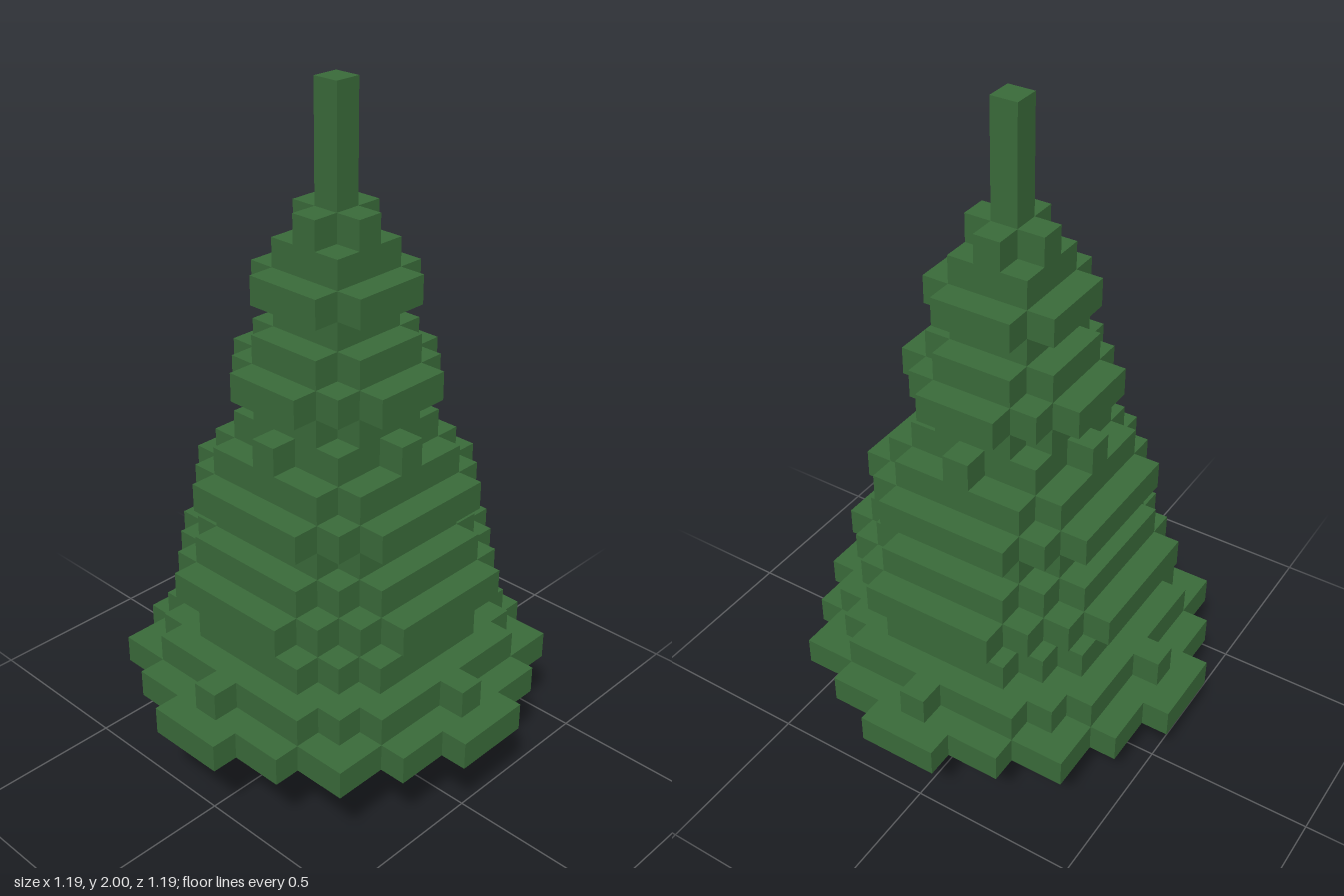
import * as THREE from 'three';

const CELL = 0.0792;   // block width
const BASE = 0.255;    // underside of the foliage
const RISE = (2 - BASE) / 21; // block height

// Squared radius, in blocks, of each foliage layer from bottom to top
const LAYERS = [50, 36, 20, 16, 30, 20, 14, 20, 14, 9, 6, 12, 6, 2, 6, 2, 1];

// Stepped outline of a disc made of square blocks
function blockDisc(r2) {
  const R = Math.floor(Math.sqrt(r2));
  const right = [];
  for (let z = -R; z <= R; z++) {
    const w = (Math.floor(Math.sqrt(r2 - z * z)) + 0.5) * CELL;
    right.push([w, (z - 0.5) * CELL], [w, (z + 0.5) * CELL]);
  }
  const left = right.map(([x, z]) => [-x, z]).reverse();
  const points = [...right, ...left]
    .map(([x, z]) => new THREE.Vector2(x, z))
    .filter((p, i, all) => i === 0 || !p.equals(all[i - 1]));
  return new THREE.Shape(points);
}

export function createModel() {
  const model = new THREE.Group();
  model.name = 'blockTree';
  const green = new THREE.MeshStandardMaterial({ color: 0x3a6b3a });
  green.name = 'needleGreen';
  const grey = new THREE.MeshStandardMaterial({ color: 0xd0d0d0, flatShading: true });
  grey.name = 'potGrey';

  // Foliage: stacked layers of blocks
  const foliage = new THREE.Group();
  foliage.name = 'foliage';
  LAYERS.forEach((r2, i) => {
    const geometry = new THREE.ExtrudeGeometry(blockDisc(r2), { depth: RISE, bevelEnabled: false });
    geometry.rotateX(-Math.PI / 2);
    const layer = new THREE.Mesh(geometry, green);
    layer.name = `foliageLayer${i + 1}`;
    layer.position.y = BASE + i * RISE;
    foliage.add(layer);
  });
  model.add(foliage);

  // Thin spire on top
  const spireBase = BASE + LAYERS.length * RISE;
  const spire = new THREE.Mesh(new THREE.BoxGeometry(CELL, 2 - spireBase, CELL), green);
  spire.name = 'spire';
  spire.position.y = (2 + spireBase) / 2;
  model.add(spire);

  // Eight-sided pot, slightly narrower at the top
  const pot = new THREE.Mesh(new THREE.CylinderGeometry(0.2, 0.212, BASE, 8), grey);
  pot.name = 'pot';
  pot.position.set(0.005, BASE / 2, 0.003);
  model.add(pot);

  return model;
}
